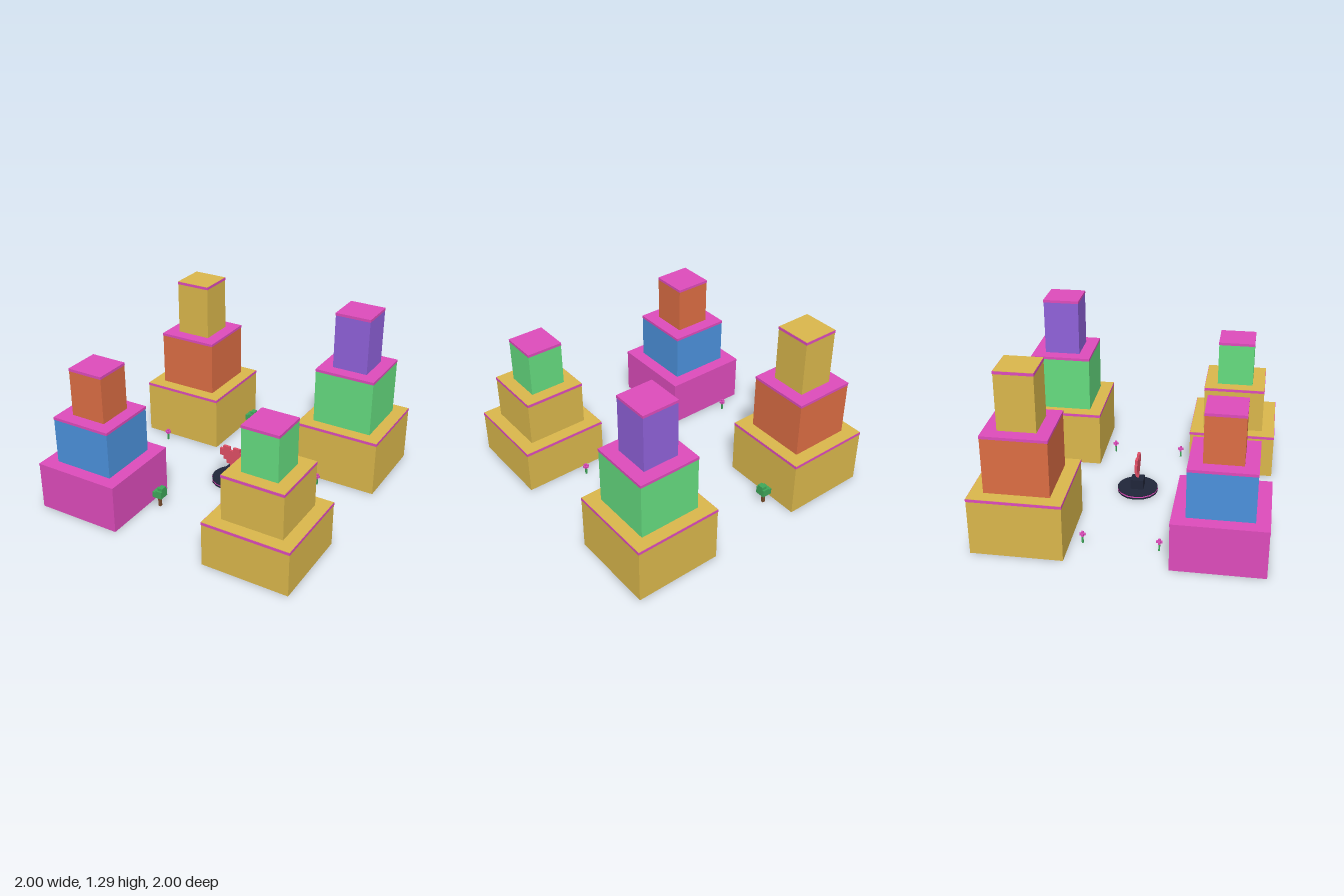
import * as THREE from 'three';

const COLORS = {
  gold: 0xdbb84c, pink: 0xde4cbc, blue: 0x4c92dd, orange: 0xdd6e44, green: 0x66dd80,
  purple: 0x9062db, dark: 0x20263a, red: 0xe04f66, leaf: 0x3fa75a, bark: 0x7a4e2d,
};
const materials = {};
for (const key in COLORS) materials[key] = new THREE.MeshStandardMaterial({ color: COLORS[key] });

function add(parent, name, geometry, color, x, y, z) {
  const mesh = new THREE.Mesh(geometry, materials[color]);
  mesh.name = name;
  mesh.position.set(x, y, z);
  parent.add(mesh);
  return mesh;
}

// Box placed by the height of its underside
function box(parent, name, color, w, h, d, x, y, z) {
  return add(parent, name, new THREE.BoxGeometry(w, h, d), color, x, y + h / 2, z);
}

function group(parent, name, x, z) {
  const g = new THREE.Group();
  g.name = name;
  g.position.set(x, 0, z);
  parent.add(g);
  return g;
}

// Three stacked blocks, each with a pink band round its top edge.
// A tier is [body colour, true where the band also covers the roof].
function tower(parent, name, x, z, tierHeight, tiers) {
  const g = group(parent, name, x, z);
  const widths = [0.643, 0.455, 0.268];
  tiers.forEach(([color, pinkRoof], i) => {
    const w = widths[i], y = i * tierHeight, band = 0.02;
    box(g, 'tierBody', color, w, tierHeight - (pinkRoof ? 0.002 : 0), w, 0, y, 0);
    box(g, 'tierTrim', 'pink', w + 0.004, band, w + 0.004, 0, y + tierHeight - band - (pinkRoof ? 0 : 0.002), 0);
  });
}

// Blocky tree with a stepped crown
function tree(parent, x, z, side) {
  const g = group(parent, 'tree', x, z);
  box(g, 'trunk', 'bark', 0.02, 0.085, 0.02, 0, 0, 0);
  box(g, 'crown', 'leaf', 0.076, 0.045, 0.076, 0, 0.083, 0);
  box(g, 'crownStep', 'leaf', 0.05, 0.012, 0.076, side * 0.013, 0.128, 0);
  box(g, 'crownTop', 'leaf', 0.038, 0.022, 0.05, side * 0.019, 0.14, 0);
}

// Flower with a head made of three crossed bars
function flower(parent, x, z) {
  const g = group(parent, 'flower', x, z);
  const a = 0.042, b = 0.015;
  box(g, 'stem', 'leaf', 0.012, 0.06, 0.012, 0, 0, 0);
  for (const [w, h, d] of [[a, b, b], [b, a, b], [b, b, a]]) {
    add(g, 'petals', new THREE.BoxGeometry(w, h, d), 'pink', 0, 0.071, 0);
  }
}

export function createModel() {
  const model = new THREE.Group();
  model.name = 'blockTowers';

  // Corner towers
  const c = 0.6765;
  tower(model, 'frontRightTower', -c, c, 0.358, [['pink', true], ['blue', true], ['orange', true]]);
  tower(model, 'frontLeftTower', c, c, 0.339, [['gold', false], ['gold', false], ['green', true]]);
  tower(model, 'backLeftTower', c, -c, 0.429, [['gold', false], ['green', true], ['purple', true]]);
  tower(model, 'backRightTower', -c, -c, 0.424, [['gold', false], ['orange', true], ['gold', false]]);

  // Central plinth
  const plinth = group(model, 'plinth', 0, 0);
  add(plinth, 'disc', new THREE.CylinderGeometry(0.152, 0.152, 0.03, 16), 'dark', 0, 0.015, 0);
  add(plinth, 'discBand', new THREE.CylinderGeometry(0.1535, 0.1535, 0.009, 16), 'pink', 0, 0.019, 0);
  box(plinth, 'pedestal', 'dark', 0.095, 0.075, 0.095, 0, 0.03, 0);

  // Floating stepped heart: one stepped outline, mirrored
  const cell = 0.0285, y0 = 0.114;
  const half = [[0.5, 0], [0.5, 1], [1.5, 1], [1.5, 2], [2.5, 2], [2.5, 3], [3.5, 3], [3.5, 5],
    [2.5, 5], [2.5, 6], [0.5, 6], [0.5, 5]];
  const outline = [...half, ...half.map(([x, y]) => [-x, y]).reverse()];
  const shape = new THREE.Shape(outline.map(([x, y]) => new THREE.Vector2(x * cell, y0 + y * cell)));
  add(model, 'heart', new THREE.ExtrudeGeometry(shape, { depth: 0.02, bevelEnabled: false }), 'red', 0, 0, -0.01);

  // Planting
  for (const [x, z] of [[-0.273, -0.785], [0.27, -0.758], [-0.273, 0.565], [0.27, 0.592]]) {
    tree(model, x, z, x < 0 ? 1 : -1);
  }
  for (const [x, z] of [[-0.765, -0.268], [0.584, -0.268], [-0.78, 0.265], [0.57, 0.265]]) {
    flower(model, x, z);
  }
  return model;
}
